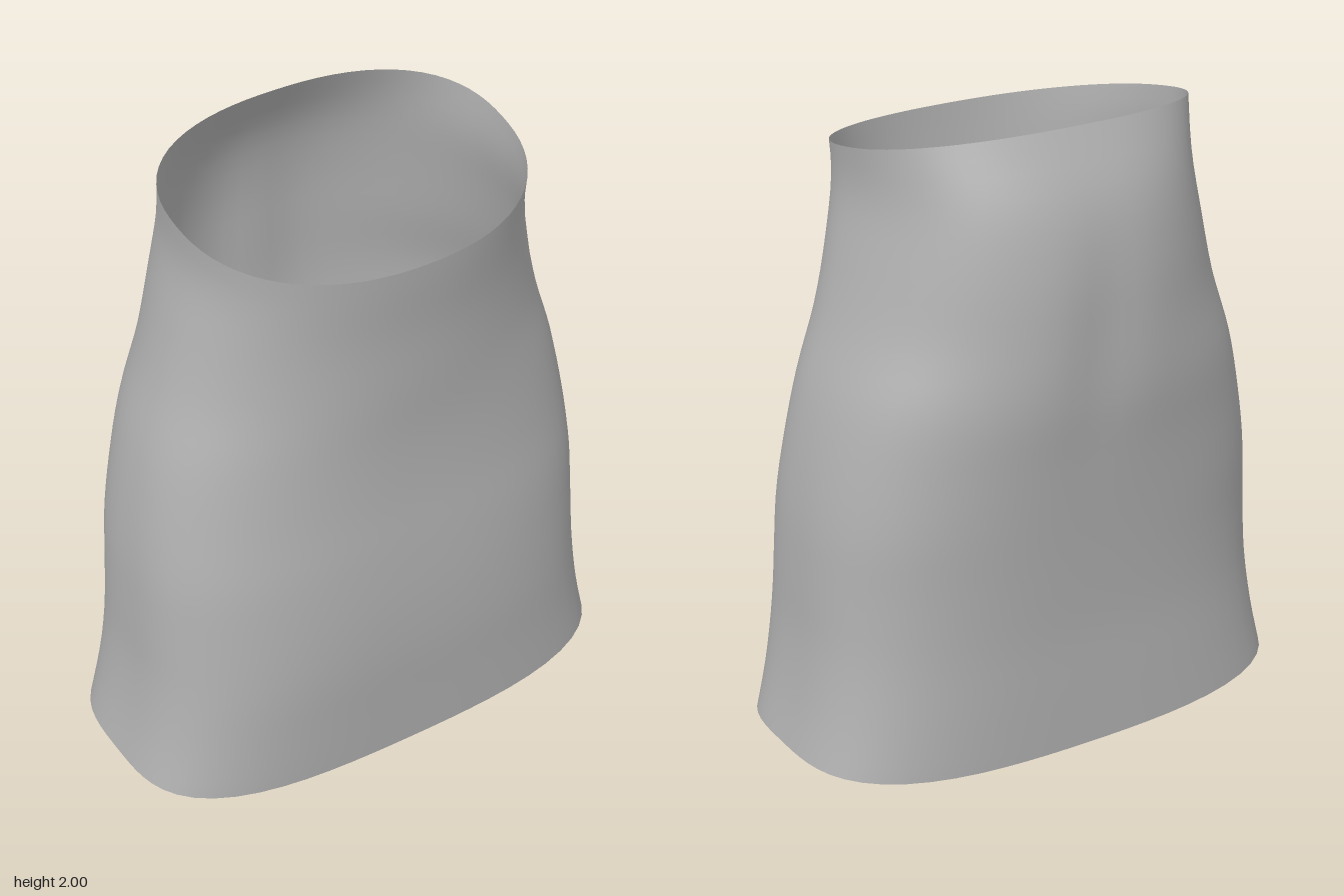
import * as THREE from 'three';

// Smooth profiles sampled every 0.2 units of height
const heights = [0, 0.2, 0.4, 0.6, 0.8, 1.0, 1.2, 1.4, 1.6, 1.8, 2.0];
const profile = (values) => {
  const curve = new THREE.CubicInterpolant(heights, values, 1);
  return (y) => curve.evaluate(THREE.MathUtils.clamp(y, 0, 2))[0];
};
const halfWidth = profile([0.855, 0.81, 0.783, 0.775, 0.765, 0.74, 0.70, 0.64, 0.59, 0.55, 0.56]);
const frontZ = profile([0.46, 0.47, 0.48, 0.478, 0.465, 0.447, 0.44, 0.447, 0.455, 0.475, 0.49]);
const backZ = profile([-0.41, -0.41, -0.41, -0.42, -0.435, -0.455, -0.48, -0.487, -0.475, -0.43, -0.33]);
const squareness = profile([3.4, 3.2, 3.0, 2.8, 2.7, 2.5, 2.3, 2.1, 2.1, 2.2, 2.3]);
const CENTRE_Z = 0.05;

// Point of the rounded cross-section at height y
function sectionPoint(angle, y) {
  const c = Math.cos(angle), s = Math.sin(angle), n = squareness(y);
  const r = 1 / Math.pow(Math.abs(c) ** n + Math.abs(s) ** n, 1 / n);
  const x = c * r * halfWidth(y);
  let z = CENTRE_Z + s * r * (s > 0 ? frontZ(y) - CENTRE_Z : CENTRE_Z - backZ(y));
  // Shallow hollow down the middle of the back
  if (s < 0) z += 0.022 * Math.exp(-((x / 0.11) ** 2) - (((y - 1.4) / 0.3) ** 2));
  return { x, z };
}

function skirtGeometry(rings = 36, sides = 72) {
  const positions = [], index = [];
  for (let i = 0; i <= rings; i++) {
    const sideY = THREE.MathUtils.lerp(0.045, 1.925, i / rings);
    const waist = THREE.MathUtils.smoothstep(sideY, 1.2, 1.925);
    const hem = 1 - THREE.MathUtils.smoothstep(sideY, 0.045, 0.6);
    for (let j = 0; j < sides; j++) {
      const angle = (j / sides) * Math.PI * 2;
      let y = sideY, p;
      // The waist tilts up at the back, the hem dips at front and back
      for (let k = 0; k < 4; k++) {
        p = sectionPoint(angle, y);
        const across = Math.min(1, Math.abs(p.x) / halfWidth(y));
        y = sideY - 0.195 * (p.z - 0.05) * waist - 0.044 * (1 - across * across) * hem;
      }
      p = sectionPoint(angle, y);
      positions.push(p.x, Math.max(0, y), p.z);
      if (i < rings) {
        const a = i * sides + j, b = i * sides + ((j + 1) % sides);
        index.push(a, a + sides, b, b, a + sides, b + sides);
      }
    }
  }
  const geometry = new THREE.BufferGeometry();
  geometry.setAttribute('position', new THREE.Float32BufferAttribute(positions, 3));
  geometry.setIndex(index);
  geometry.computeVertexNormals();
  return geometry;
}

export function createModel() {
  const cloth = new THREE.MeshStandardMaterial({ color: 0xb0b0b0, side: THREE.DoubleSide });
  cloth.name = 'grey cloth';
  const skirt = new THREE.Mesh(skirtGeometry(), cloth);
  skirt.name = 'skirt';
  const model = new THREE.Group();
  model.name = 'skirtModel';
  model.add(skirt);
  return model;
}
